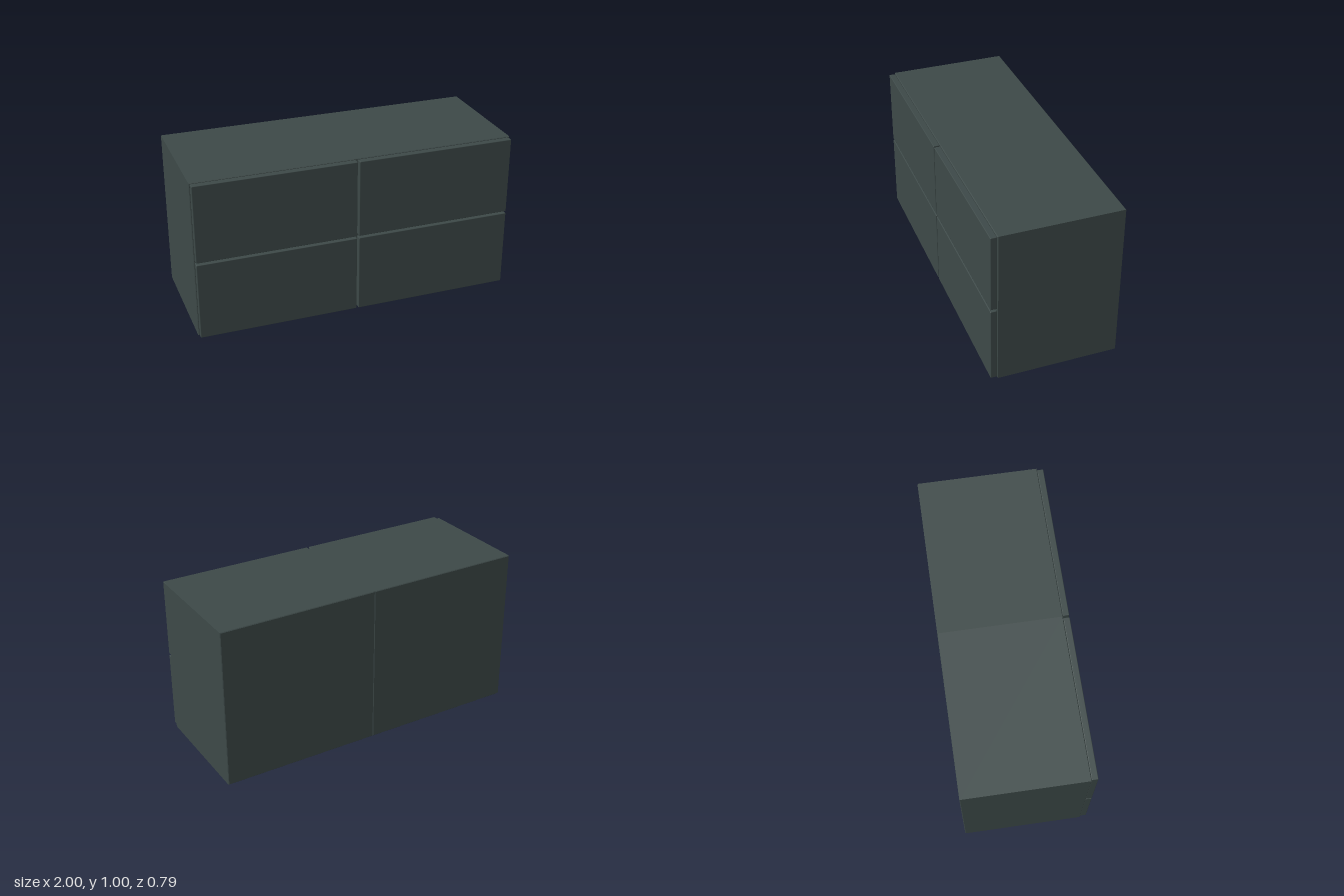
import * as THREE from 'three';
import { RoundedBoxGeometry } from 'three/addons/geometries/RoundedBoxGeometry.js';

const BEVEL = 0.004;
const BACK = -0.393, FRAME_FRONT = 0.354, FRONT = 0.393;
const WALL = 0.036;

const material = new THREE.MeshStandardMaterial({ color: 0x3d4948 });

function rectangle(path, x0, y0, x1, y1) {
  path.moveTo(x0, y0);
  path.lineTo(x1, y0);
  path.lineTo(x1, y1);
  path.lineTo(x0, y1);
  path.closePath();
  return path;
}

function addMesh(parent, name, geometry, x, y, z) {
  const mesh = new THREE.Mesh(geometry, material);
  mesh.name = name;
  mesh.position.set(x, y, z);
  parent.add(mesh);
}

// One unit, 1 wide and 1 high, with an open-fronted shell and two drawers
function createCabinet(name) {
  const cabinet = new THREE.Group();
  cabinet.name = name;

  // Shell: top, bottom and both sides in one bevelled frame
  const outline = rectangle(new THREE.Shape(), -0.5, 0, 0.5, 1);
  outline.holes.push(rectangle(new THREE.Path(), -0.5 + WALL, WALL, 0.5 - WALL, 1 - WALL));
  const shell = new THREE.ExtrudeGeometry(outline, {
    depth: FRAME_FRONT - BACK - 2 * BEVEL,
    bevelEnabled: true, bevelThickness: BEVEL, bevelSize: BEVEL,
    bevelOffset: -BEVEL, bevelSegments: 1,
  });
  addMesh(cabinet, 'cabinetShell', shell, 0, 0, BACK + BEVEL);

  // Back panel, flush with the rear of the shell
  const inner = 1 - 2 * BEVEL;
  addMesh(cabinet, 'backPanel', new THREE.BoxGeometry(inner, inner, 0.02), 0, 0.5, BACK + 0.01);

  // Drawer fronts, separated by a narrow gap
  const depth = FRONT - FRAME_FRONT;
  for (const [label, bottom, top] of [['lower', 0.006, 0.495], ['upper', 0.508, 0.995]]) {
    const front = new RoundedBoxGeometry(0.987, top - bottom, depth, 2, BEVEL);
    addMesh(cabinet, label + 'DrawerFront', front, 0, (bottom + top) / 2, FRAME_FRONT + depth / 2);
  }
  return cabinet;
}

export function createModel() {
  const model = new THREE.Group();
  model.name = 'drawerCabinets';
  for (const [name, x] of [['rightCabinet', -0.5], ['leftCabinet', 0.5]]) {
    const cabinet = createCabinet(name);
    cabinet.position.x = x;
    model.add(cabinet);
  }
  return model;
}
